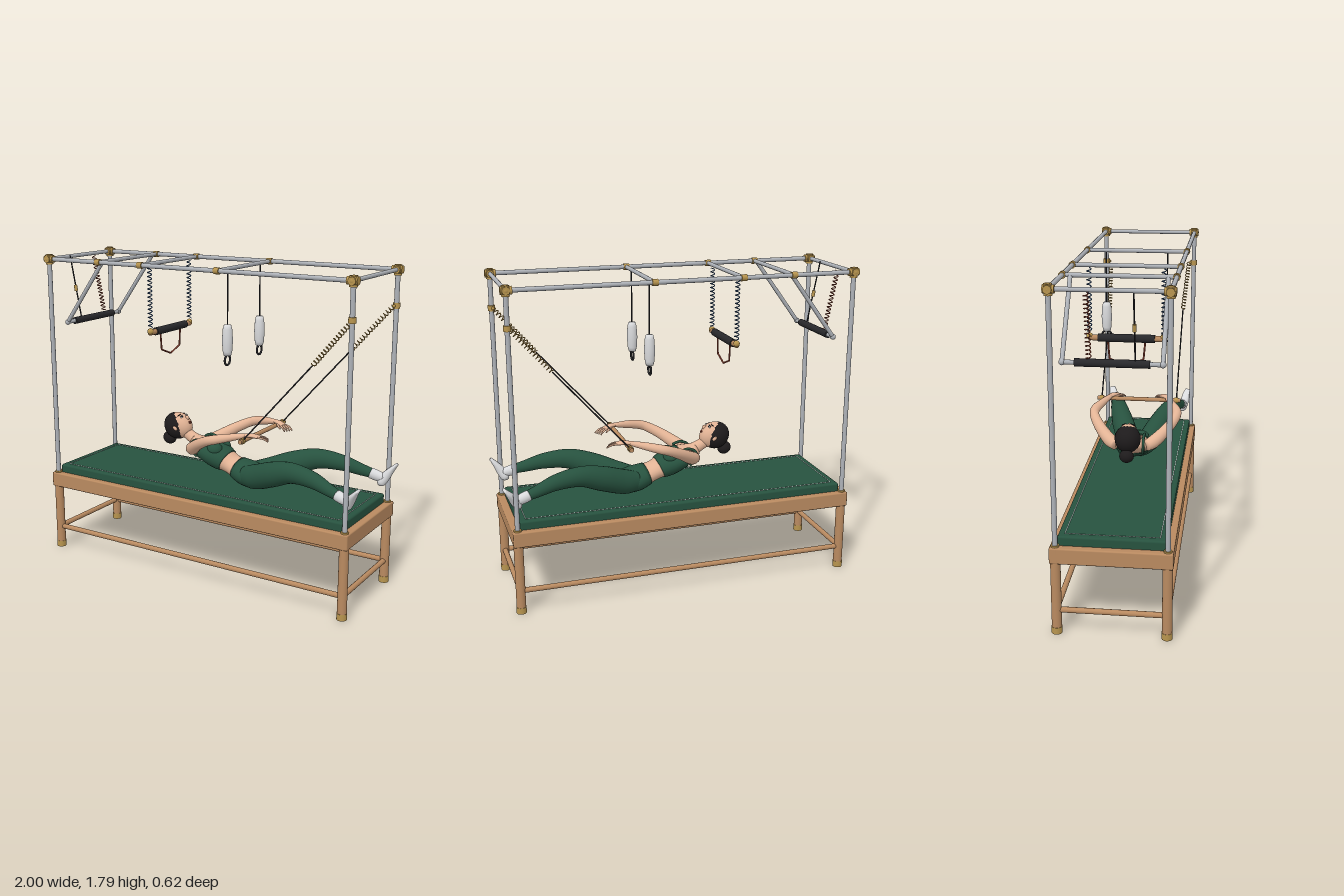
import * as THREE from 'three';
import { RoundedBoxGeometry } from 'three/addons/geometries/RoundedBoxGeometry.js';

const V = (x, y, z) => new THREE.Vector3(x, y, z);

export function createModel() {
  const model = new THREE.Group();
  const mat = (name, color) => Object.assign(new THREE.MeshStandardMaterial({ color }), { name });
  const green = mat('green', 0x27523f), wood = mat('wood', 0xb98a60), brass = mat('brass', 0xb8954f);
  const steel = mat('steel', 0xaeb2b8), skin = mat('skin', 0xe2b395), white = mat('white', 0xd9dadc);
  const black = mat('black', 0x28282b), hair = mat('hair', 0x1e1b1c);
  const blue = mat('blue', 0x3a5c8a), red = mat('red', 0x8c4231);

  const add = (name, geo, m, parent = model) => {
    const mesh = new THREE.Mesh(geo, m);
    mesh.name = name;
    parent.add(mesh);
    return mesh;
  };
  const box = (name, m, w, h, d, x, y, z, r = 0.008) =>
    add(name, new RoundedBoxGeometry(w, h, d, 2, r), m).position.set(x, y, z);
  const ball = (name, m, x, y, z, rx, ry = rx, rz = rx, parent = model) => {
    const s = add(name, new THREE.SphereGeometry(1, 20, 14), m, parent);
    s.position.set(x, y, z);
    s.scale.set(rx, ry, rz);
    return s;
  };
  // round bar between two points
  const bar = (name, m, a, b, r, sides = 14) => {
    const c = add(name, new THREE.CylinderGeometry(r, r, a.distanceTo(b), sides), m);
    c.position.copy(a).lerp(b, 0.5);
    c.quaternion.setFromUnitVectors(V(0, 1, 0), b.clone().sub(a).normalize());
    return c;
  };
  // coil spring between two points
  const spring = (name, m, a, b, r, turns) => {
    const t = b.clone().sub(a).normalize();
    const u = V(0, 0, 1).cross(t).normalize(), w = t.clone().cross(u);
    const pts = [];
    for (let i = 0; i <= turns * 8; i++) {
      const k = i / (turns * 8), ang = i * Math.PI / 4;
      pts.push(a.clone().lerp(b, k).addScaledVector(u, r * Math.cos(ang)).addScaledVector(w, r * Math.sin(ang)));
    }
    add(name, new THREE.TubeGeometry(new THREE.CatmullRomCurve3(pts), turns * 10, 0.003, 5), m);
  };
  // smooth body from rows of [x, y, z, side radius, depth radius]
  const loft = (name, m, rows, sides = 20, parent = model) => {
    const path = new THREE.CatmullRomCurve3(rows.map(r => V(r[0], r[1], r[2])));
    const size = new THREE.CatmullRomCurve3(rows.map((r, i) => V(r[3], r[4], i * 0.02)));
    const n = (rows.length - 1) * 5, pos = [], idx = [];
    for (let i = -1; i <= n + 1; i++) {
      const k = Math.min(Math.max(i / n, 0), 1), end = i < 0 || i > n ? 0 : 1;
      const c = path.getPoint(k), t = path.getTangent(k), s = size.getPoint(k);
      const side = V(0, 0, 1).addScaledVector(t, -t.z).normalize(), up = t.clone().cross(side);
      for (let j = 0; j < sides; j++) {
        const a = j / sides * Math.PI * 2;
        const p = c.clone().addScaledVector(side, end * s.x * Math.cos(a)).addScaledVector(up, end * s.y * Math.sin(a));
        pos.push(p.x, p.y, p.z);
      }
    }
    for (let i = 0; i < n + 2; i++) for (let j = 0; j < sides; j++) {
      const a = i * sides + j, b = i * sides + (j + 1) % sides;
      idx.push(a, b, a + sides, b, b + sides, a + sides);
    }
    const g = new THREE.BufferGeometry();
    g.setAttribute('position', new THREE.Float32BufferAttribute(pos, 3));
    g.setIndex(idx);
    g.computeVertexNormals();
    return add(name, g, m, parent);
  };

  // table: legs, rails, frame beams, mattress
  const X0 = -0.976, X1 = 0.928, Z = 0.28, TOP = 1.765, MID = (X0 + X1) / 2;
  for (const s of [1, -1]) {
    for (const x of [X0, X1]) {
      bar('leg', wood, V(x, 0.02, s * Z), V(x, 0.41, s * Z), 0.026, 20);
      bar('footCap', brass, V(x, 0, s * Z), V(x, 0.036, s * Z), 0.028, 20);
      bar('post', steel, V(x, 0.46, s * Z), V(x, TOP, s * Z), 0.0135);
      bar('postBase', brass, V(x, 0.455, s * Z), V(x, 0.487, s * Z), 0.021);
      ball('cornerFitting', brass, x, TOP, s * Z, 0.028);
      bar('cornerSleeve', brass, V(x, 1.735, s * Z), V(x, 1.79, s * Z), 0.021);
      const dx = x < 0 ? 0.032 : -0.032;
      bar('cornerSleeve', brass, V(x - dx * 0.85, TOP, s * Z), V(x + dx, TOP, s * Z), 0.021);
      bar('cornerSleeve', brass, V(x, TOP, s * 0.306), V(x, TOP, s * 0.25), 0.021);
    }
    bar('lowerRail', wood, V(X0, 0.13, s * Z), V(X1, 0.13, s * Z), 0.015);
    bar('topRail', steel, V(X0, TOP, s * Z), V(X1, TOP, s * Z), 0.0125);
    box('sideBeam', wood, 1.96, 0.086, 0.045, MID, 0.436, s * 0.286);
    for (const x of [-0.62, -0.33, 0.16])
      bar('railFitting', brass, V(x - 0.016, TOP, s * Z), V(x + 0.016, TOP, s * Z), 0.018);
  }
  for (const x of [X0, X1]) {
    bar('lowerEndRail', wood, V(x, 0.13, -Z), V(x, 0.13, Z), 0.015);
    box('endBeam', wood, 0.045, 0.086, 0.616, MID + Math.sign(x) * 0.957, 0.436, 0);
  }
  for (const x of [X0, -0.62, -0.33, 0.16, X1]) bar('crossBar', steel, V(x, TOP, -Z), V(x, TOP, Z), 0.0115);
  box('mattress', green, 1.875, 0.065, 0.545, MID, 0.4945, 0, 0.012);
  for (const s of [1, -1]) {
    bar('stitching', white, V(MID - 0.9, 0.527, s * 0.238), V(MID + 0.9, 0.527, s * 0.238), 0.002, 6);
    bar('stitching', white, V(MID + s * 0.9, 0.527, -0.238), V(MID + s * 0.9, 0.527, 0.238), 0.002, 6);
  }

  // swinging push bar with spring and safety strap
  for (const s of [1, -1]) {
    bar('pushBarArm', steel, V(-0.62, TOP, s * 0.24), V(-0.89, 1.4, s * 0.24), 0.0115);
    ball('pushBarElbow', steel, -0.89, 1.4, s * 0.24, 0.016);
  }
  bar('pushBar', steel, V(-0.89, 1.4, -0.24), V(-0.89, 1.4, 0.24), 0.0115);
  bar('pushBarGrip', black, V(-0.89, 1.4, -0.18), V(-0.89, 1.4, 0.18), 0.02);
  spring('pushBarSpring', red, V(-0.965, 1.75, -0.11), V(-0.9, 1.42, -0.11), 0.012, 16);
  bar('safetyStrap', black, V(-0.965, 1.77, 0.11), V(-0.895, 1.41, 0.11), 0.004, 8);
  bar('strapBuckle', brass, V(-0.933, 1.6, 0.11), V(-0.927, 1.565, 0.11), 0.01);

  // hanging trapeze with strap
  bar('trapezeBar', black, V(-0.33, 1.383, -0.15), V(-0.33, 1.383, 0.15), 0.022);
  for (const s of [1, -1]) {
    spring('trapezeSpring', blue, V(-0.33, 1.75, s * 0.195), V(-0.33, 1.41, s * 0.195), 0.012, 15);
    bar('trapezeEnd', wood, V(-0.33, 1.383, s * 0.145), V(-0.33, 1.383, s * 0.2), 0.016);
    ball('trapezeKnob', brass, -0.33, 1.39, s * 0.195, 0.018);
    bar('trapezeStrap', red, V(-0.33, 1.38, s * 0.1), V(-0.33, 1.27, s * 0.09), 0.005, 8);
    bar('trapezeStrap', red, V(-0.33, 1.27, s * 0.09), V(-0.33, 1.235, 0), 0.005, 8);

    // padded cuffs
    const z = s * 0.173;
    bar('cuffRope', black, V(0.16, TOP, z), V(0.16, 1.45, z), 0.004, 8);
    const pad = [[0, -0.085], [0.02, -0.083], [0.026, -0.06], [0.03, 0], [0.026, 0.06], [0.02, 0.083], [0, 0.085]];
    add('cuffPad', new THREE.LatheGeometry(pad.map(p => new THREE.Vector2(...p)), 16), white).position.set(0.16, 1.385, z);
    const ring = add('cuffRing', new THREE.TorusGeometry(0.027, 0.006, 8, 24), black);
    ring.position.set(0.16, 1.277, z);
    ring.rotation.y = Math.PI / 2;

    // roll-back bar cords and springs
    bar('springCollar', brass, V(X1, 1.56, s * Z), V(X1, 1.59, s * Z), 0.02);
    ball('springHook', brass, 0.922, 1.575, s * 0.258, 0.009);
    spring('rollBackSpring', brass, V(0.7, 1.32, s * 0.23), V(0.92, 1.572, s * 0.25), 0.012, 16);
    bar('rollBackCord', black, V(0.29, 0.86, s * 0.225), V(0.7, 1.32, s * 0.23), 0.004, 8);
    bar('rollBackEnd', brass, V(0.286, 0.855, s * 0.215), V(0.286, 0.855, s * 0.235), 0.017);
  }
  bar('rollBackBar', wood, V(0.286, 0.855, -0.25), V(0.286, 0.855, 0.25), 0.0125);

  // reclining figure: trunk and clothes
  loft('neck', skin, [[-0.25, 0.79, 0, 0.034, 0.034], [-0.19, 0.755, 0, 0.033, 0.033], [-0.12, 0.72, 0, 0.05, 0.04]]);
  loft('trunk', skin, [[-0.17, 0.74, 0, 0.042, 0.036], [-0.125, 0.718, 0, 0.098, 0.045], [-0.07, 0.7, 0, 0.108, 0.058],
    [-0.01, 0.675, 0, 0.1, 0.066], [0.05, 0.65, 0, 0.084, 0.06], [0.09, 0.633, 0, 0.075, 0.054],
    [0.14, 0.615, 0, 0.085, 0.058], [0.2, 0.597, 0, 0.1, 0.064]], 28);
  loft('top', green, [[-0.078, 0.704, 0, 0.112, 0.061], [-0.01, 0.676, 0, 0.106, 0.071], [0.03, 0.659, 0, 0.096, 0.069],
    [0.058, 0.647, 0, 0.086, 0.063]], 28);
  loft('hips', green, [[0.13, 0.618, 0, 0.088, 0.062], [0.2, 0.597, 0, 0.107, 0.07], [0.26, 0.592, 0, 0.108, 0.066],
    [0.31, 0.6, 0, 0.08, 0.055], [0.335, 0.603, 0, 0.03, 0.025]], 28);

  // limbs, built once for +z and mirrored to -z
  for (const s of [1, -1]) {
    const m = rows => rows.map(r => [r[0], r[1], s * r[2], r[3], r[4]]);
    ball('bust', green, -0.005, 0.715, s * 0.045, 0.05, 0.042, 0.047);
    const strap = [V(-0.045, 0.752, s * 0.07), V(-0.095, 0.765, s * 0.07), V(-0.14, 0.745, s * 0.07),
      V(-0.15, 0.705, s * 0.07), V(-0.11, 0.66, s * 0.065)];
    add('topStrap', new THREE.TubeGeometry(new THREE.CatmullRomCurve3(strap), 20, 0.008, 8), green);
    loft('arm', skin, m([[-0.135, 0.712, 0.085, 0.03, 0.03], [-0.1, 0.728, 0.125, 0.037, 0.037], [-0.01, 0.785, 0.2, 0.031, 0.031],
      [0.07, 0.825, 0.238, 0.027, 0.027], [0.12, 0.84, 0.237, 0.028, 0.026], [0.2, 0.857, 0.205, 0.022, 0.021],
      [0.275, 0.871, 0.172, 0.015, 0.012]]));
    loft('palm', skin, m([[0.265, 0.871, 0.177, 0.014, 0.011], [0.3, 0.873, 0.16, 0.02, 0.011],
      [0.33, 0.868, 0.145, 0.024, 0.01], [0.347, 0.864, 0.137, 0.02, 0.007]]), 14);
    for (const k of [-1.5, -0.5, 0.5, 1.5])
      loft('finger', skin, m([[0.335 + k * 0.005, 0.866, 0.143 + k * 0.01, 0.006, 0.006],
        [0.363 + k * 0.007, 0.86, 0.128 + k * 0.013, 0.0055, 0.0055],
        [0.386 + k * 0.008, 0.845, 0.115 + k * 0.015, 0.004, 0.004]]), 8);
    loft('thumb', skin, m([[0.295, 0.87, 0.152, 0.008, 0.007], [0.318, 0.862, 0.122, 0.007, 0.006],
      [0.34, 0.852, 0.105, 0.004, 0.004]]), 8);
    loft('leg', green, m([[0.2, 0.597, 0.05, 0.05, 0.055], [0.28, 0.608, 0.068, 0.068, 0.07], [0.42, 0.66, 0.115, 0.066, 0.07],
      [0.55, 0.7, 0.152, 0.053, 0.057], [0.69, 0.693, 0.18, 0.043, 0.045], [0.8, 0.664, 0.205, 0.032, 0.033],
      [0.875, 0.645, 0.222, 0.024, 0.025]]), 24);
    loft('sock', white, m([[0.848, 0.651, 0.216, 0.029, 0.03], [0.88, 0.641, 0.222, 0.028, 0.03],
      [0.92, 0.63, 0.228, 0.024, 0.026]]), 16);
    loft('foot', white, m([[0.898, 0.59, 0.222, 0.012, 0.01], [0.909, 0.605, 0.224, 0.026, 0.026], [0.932, 0.642, 0.235, 0.027, 0.026],
      [0.963, 0.685, 0.25, 0.029, 0.015], [0.985, 0.712, 0.258, 0.02, 0.008]]), 16);
  }

  // head, local y to the crown and z to the face
  const head = new THREE.Group();
  head.name = 'head';
  const up = V(-0.83, 0.56, 0).normalize(), face = V(-up.y * -1, -up.x, 0);
  head.quaternion.setFromRotationMatrix(new THREE.Matrix4().makeBasis(V(0, 0, -1), up, face));
  head.position.set(-0.27, 0.812, 0);
  model.add(head);
  ball('face', skin, 0, 0, 0, 0.062, 0.083, 0.072, head);
  ball('hairCap', hair, 0, 0.012, -0.014, 0.072, 0.083, 0.076, head);
  ball('bun', hair, 0, 0.012, -0.112, 0.04, 0.04, 0.036, head);
  ball('nose', skin, 0, -0.014, 0.07, 0.008, 0.015, 0.013, head);
  ball('upperLip', red, 0, -0.041, 0.0625, 0.015, 0.004, 0.004, head);
  ball('lowerLip', red, 0, -0.047, 0.0595, 0.012, 0.004, 0.004, head);
  for (const s of [1, -1]) {
    ball('eyeWhite', white, s * 0.024, 0.008, 0.065, 0.012, 0.006, 0.004, head).rotation.y = s * 0.4;
    ball('iris', hair, s * 0.024, 0.008, 0.068, 0.0058, 0.006, 0.003, head);
    ball('lash', hair, s * 0.025, 0.014, 0.0655, 0.013, 0.002, 0.004, head).rotation.y = s * 0.4;
    ball('brow', hair, s * 0.025, 0.027, 0.062, 0.014, 0.0028, 0.004, head).rotation.y = s * 0.4;
    ball('ear', skin, s * 0.069, -0.012, 0.004, 0.007, 0.016, 0.01, head);
  }
  return model;
}
